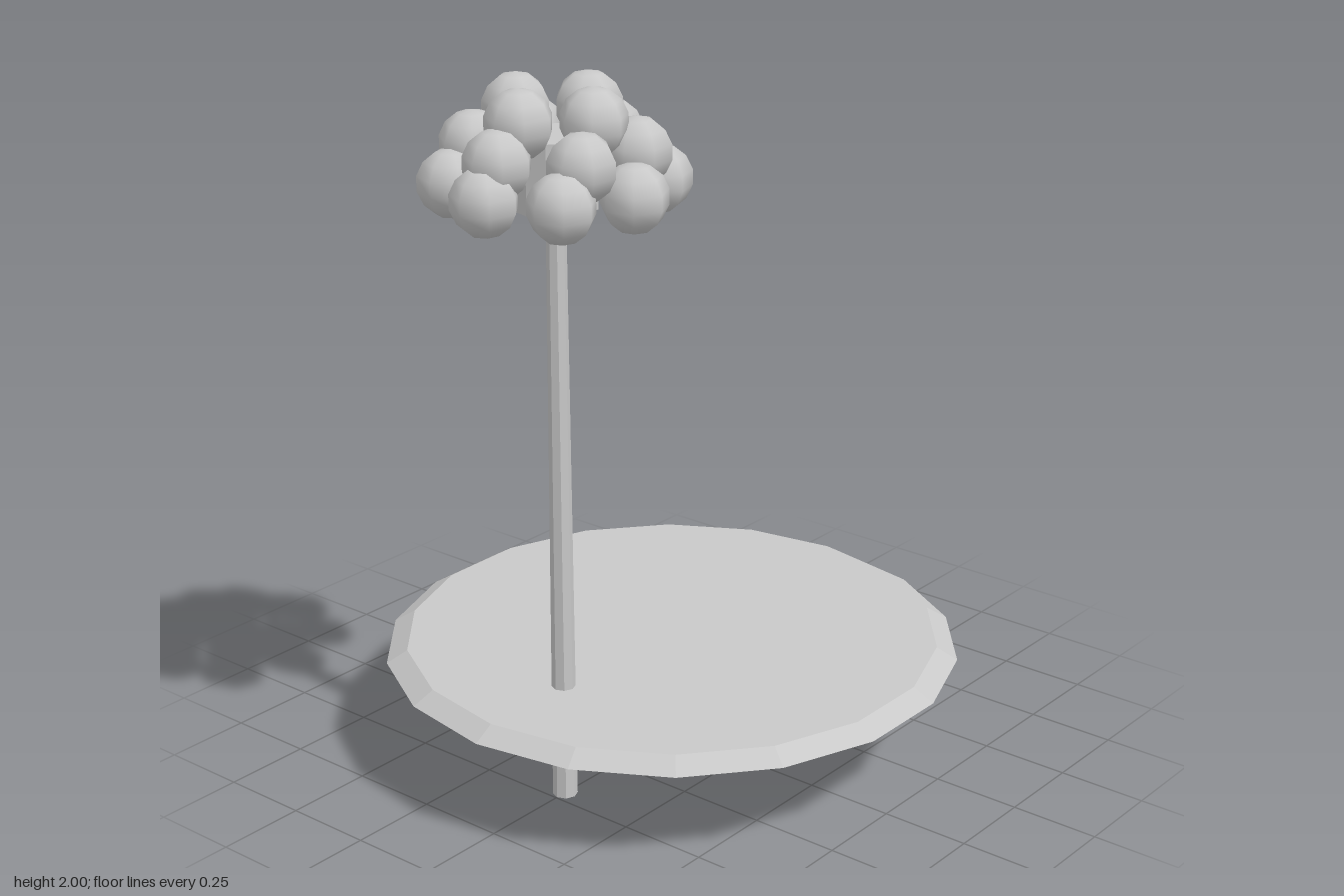
import * as THREE from 'three';

export function createModel() {
  const model = new THREE.Group();
  const grey = new THREE.MeshStandardMaterial({ color: 0xc8c8c8 });
  grey.name = 'light grey';
  const flatGrey = grey.clone();
  flatGrey.name = 'light grey faceted';
  flatGrey.flatShading = true;

  const add = (name, geometry, material, x, y, z, parent = model) => {
    const mesh = new THREE.Mesh(geometry, material);
    mesh.name = name;
    mesh.position.set(x, y, z);
    parent.add(mesh);
    return mesh;
  };

  // Bevelled ground disc with a corner on the x axis
  const disc = new THREE.CylinderGeometry(0.75, 0.808, 0.035, 18);
  disc.rotateY(Math.PI / 2);
  add('groundDisc', disc, flatGrey, 0, 0.31, 0);

  // Slender trunk passing through the disc
  const treeX = -0.462;
  add('trunk', new THREE.CylinderGeometry(0.026, 0.034, 1.68, 8), flatGrey, treeX, 0.84, 0);

  // Crown: a core with three rings of leaf balls
  const crown = new THREE.Group();
  crown.name = 'crown';
  crown.position.x = treeX;
  model.add(crown);
  add('crownCore', new THREE.CylinderGeometry(0.11, 0.11, 0.19, 12), flatGrey, 0, 1.765, 0, crown);

  const ball = new THREE.SphereGeometry(0.09, 7, 7);
  ball.rotateY(Math.PI); // corner points outward along +x
  const tiers = [
    { count: 8, radius: 0.26, y: 1.74 },
    { count: 6, radius: 0.21, y: 1.825 },
    { count: 4, radius: 0.13, y: 1.91 },
  ];
  for (const { count, radius, y } of tiers) {
    for (let i = 0; i < count; i++) {
      const a = (i / count) * Math.PI * 2;
      const leaf = add('leafBall', ball, grey, Math.cos(a) * radius, y, -Math.sin(a) * radius, crown);
      leaf.rotation.y = a;
    }
  }
  return model;
}
